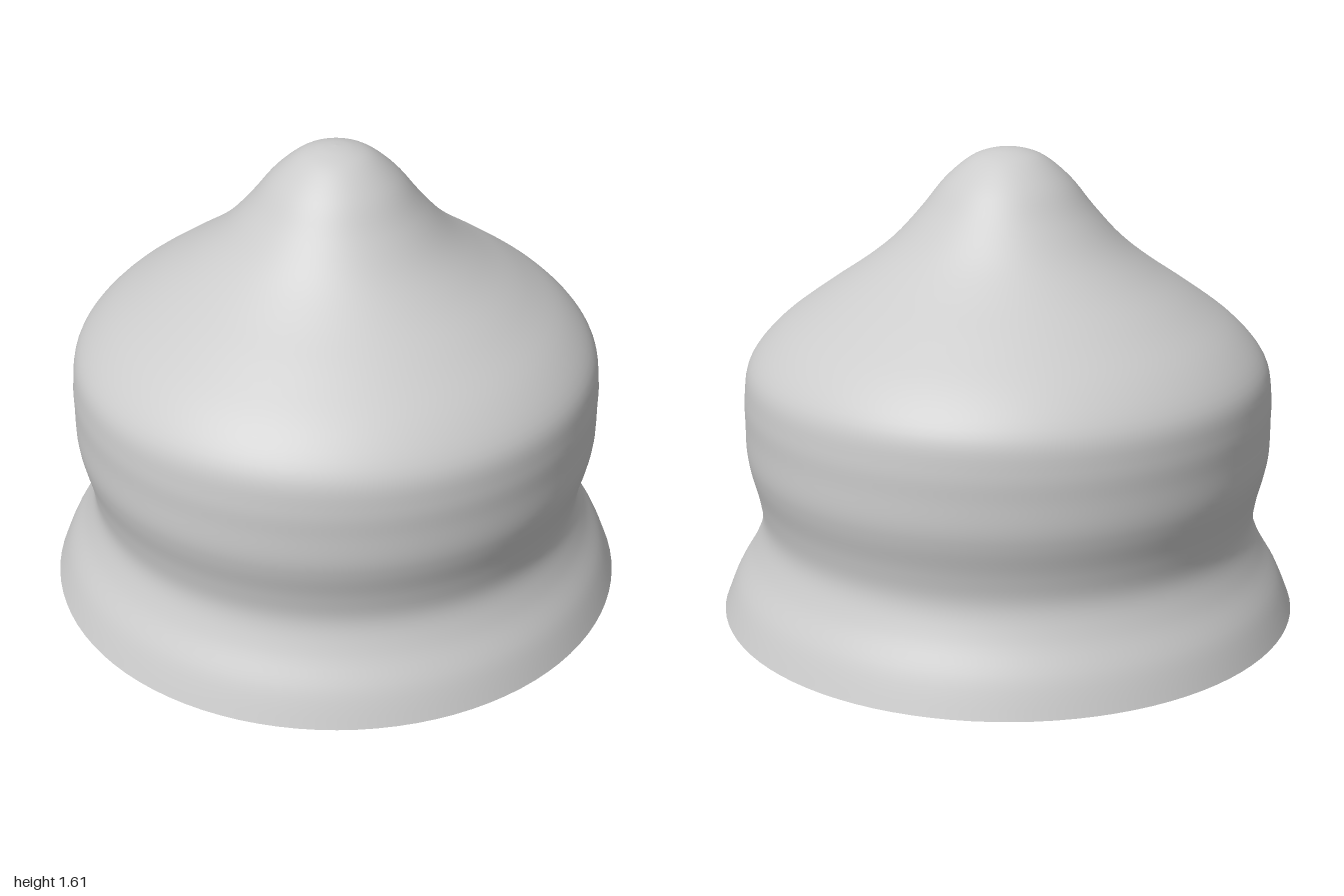
import * as THREE from 'three';

// Radius and height along the outline, from the open rim up to the tip
const outline = [
  [1.0, 0], [0.955, 0.11], [0.892, 0.22], [0.858, 0.32], [0.868, 0.42],
  [0.893, 0.52], [0.904, 0.59], [0.905, 0.68], [0.904, 0.78], [0.882, 0.89],
  [0.79, 1.0], [0.645, 1.11], [0.5, 1.21], [0.39, 1.3], [0.295, 1.405],
  [0.215, 1.505], [0.13, 1.578], [0.06, 1.606], [0, 1.613],
];

export function createModel() {
  const group = new THREE.Group();
  group.name = 'bellDome';

  // Smooth curve through the outline, kept off the far side of the axis
  const curve = new THREE.SplineCurve(outline.map(([r, y]) => new THREE.Vector2(r, y)));
  const profile = curve.getPoints(90);
  profile.forEach((p) => { p.x = Math.max(p.x, 0); });

  // Thin hollow shell, open at the bottom
  const shell = new THREE.Mesh(
    new THREE.LatheGeometry(profile, 96),
    new THREE.MeshStandardMaterial({ color: 0xcccccc, side: THREE.DoubleSide }),
  );
  shell.name = 'shell';
  group.add(shell);
  return group;
}
